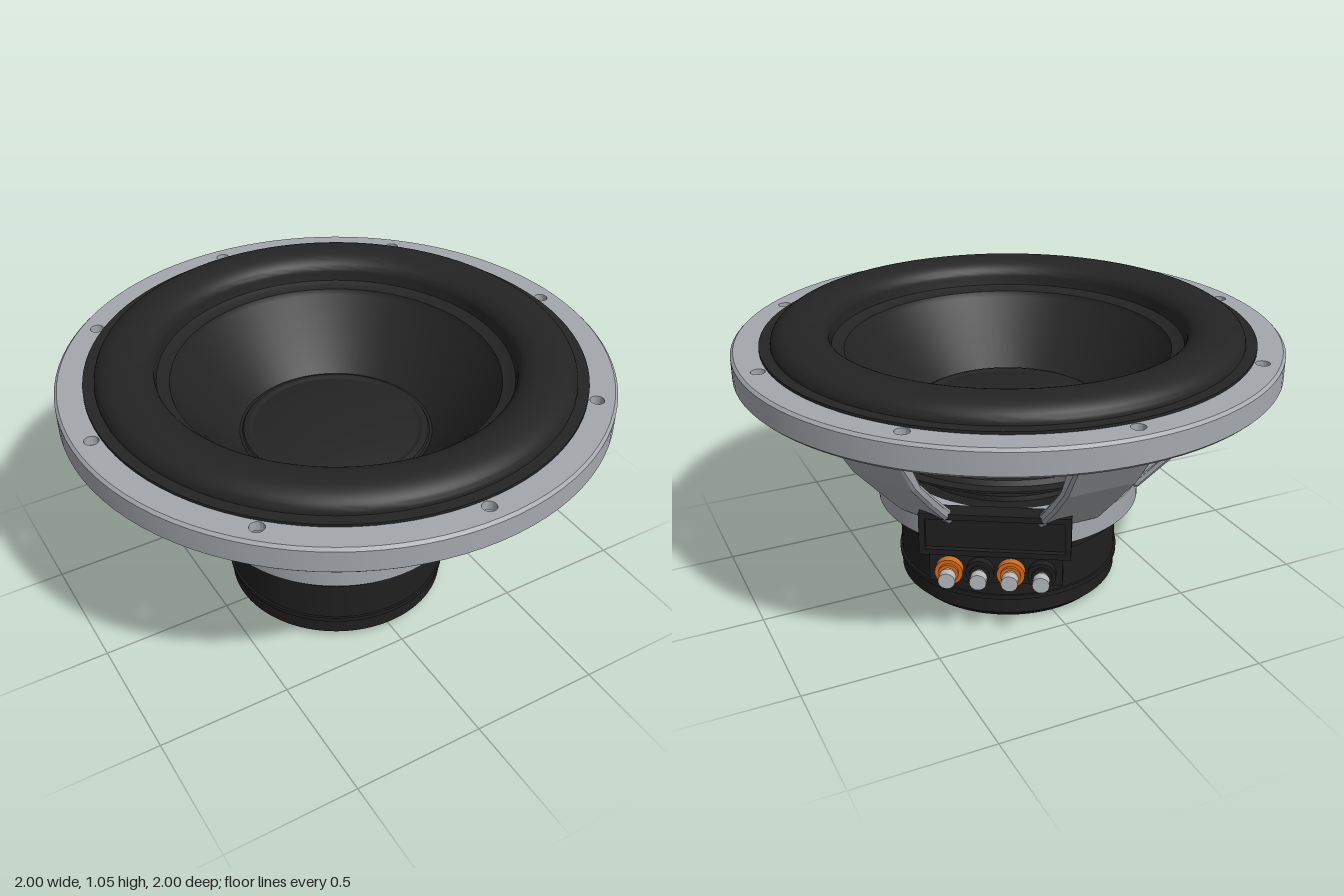
import * as THREE from 'three';
import { toCreasedNormals } from 'three/addons/utils/BufferGeometryUtils.js';

const mat = (name, color, side = THREE.FrontSide) => {
  const m = new THREE.MeshStandardMaterial({ color, side });
  m.name = name;
  return m;
};

export function createModel() {
  const model = new THREE.Group();
  model.name = 'loudspeaker';
  const grey = mat('cast grey', 0xa4a8ad);
  const black = mat('motor black', 0x1f1f1f);
  const rubber = mat('cone black', 0x242424, THREE.DoubleSide);
  const orange = mat('terminal orange', 0xd9691a);
  const silver = mat('post silver', 0xb8bbbe);

  const add = (name, geo, material, parent = model) => {
    const mesh = new THREE.Mesh(geo, material);
    mesh.name = name;
    parent.add(mesh);
    return mesh;
  };
  // profile points are [radius, y]
  const lathe = (name, pts, material, crease = 0.5) => {
    const geo = new THREE.LatheGeometry(pts.map(p => new THREE.Vector2(...p)), 96);
    return add(name, toCreasedNormals(geo, crease), material);
  };
  // flat disc with round holes, lying between y0 and y1
  const disc = (name, radius, holes, y0, y1, material) => {
    const shape = new THREE.Shape().absarc(0, 0, radius, 0, Math.PI * 2);
    for (const [x, y, r] of holes) {
      shape.holes.push(new THREE.Path().absarc(x, y, r, 0, Math.PI * 2, true));
    }
    const geo = new THREE.ExtrudeGeometry(shape, { depth: y1 - y0, bevelEnabled: false, curveSegments: 48 });
    geo.rotateX(-Math.PI / 2).translate(0, y0, 0);
    return add(name, toCreasedNormals(geo, 0.5), material);
  };
  const ringOfHoles = (count, dist, r, start = 0) => Array.from({ length: count }, (_, i) => {
    const a = start + i * Math.PI * 2 / count;
    return [Math.cos(a) * dist, Math.sin(a) * dist, r];
  });

  // mounting flange: drilled plate with a deeper outer lip
  disc('flangePlate', 0.97, [[0, 0, 0.8], ...ringOfHoles(8, 0.93, 0.025)], 0.94, 0.975, grey);
  lathe('flangeLip', [[0.97, 0.88], [0.975, 0.875], [0.99, 0.875], [1, 0.885], [1, 0.965],
    [0.99, 0.975], [0.97, 0.975], [0.97, 0.88]], grey);

  // basket rings above and below the spokes
  lathe('upperBasketRing', [[0.63, 0.78], [0.76, 0.78], [0.85, 0.85], [0.85, 0.945],
    [0.8, 0.945], [0.68, 0.81], [0.63, 0.78]], grey);
  lathe('lowerBasketRing', [[0.4, 0.335], [0.49, 0.335], [0.5, 0.345], [0.5, 0.435], [0.475, 0.46],
    [0.4, 0.46], [0.4, 0.335]], grey);

  // six bent spokes, wider at the top
  const spokeShape = new THREE.Shape([[0.47, 0.42], [0.5, 0.42], [0.635, 0.56], [0.73, 0.665], [0.83, 0.82],
    [0.77, 0.82], [0.69, 0.675], [0.605, 0.585], [0.46, 0.44]].map(p => new THREE.Vector2(...p)));
  const spokeGeo = new THREE.ExtrudeGeometry(spokeShape, {
    depth: 0.24, bevelThickness: 0.01, bevelSize: 0.01, bevelOffset: -0.01, bevelSegments: 1,
  });
  spokeGeo.translate(0, 0, -0.12).rotateY(-Math.PI / 2);
  const pos = spokeGeo.attributes.position;
  for (let i = 0; i < pos.count; i++) {
    const t = Math.max(0, (pos.getY(i) - 0.56) / 0.25);
    pos.setX(i, pos.getX(i) * (1 + 0.14 * t));
  }
  spokeGeo.computeVertexNormals();
  for (let i = 0; i < 6; i++) add('spoke', spokeGeo, grey).rotation.y = i * Math.PI / 3;

  // gasket, surround roll and cone in one flowing skin
  const roll = Array.from({ length: 25 }, (_, i) => {
    const a = i * Math.PI / 24;
    return [0.755 + 0.105 * Math.cos(a), 0.985 + 0.065 * Math.sin(a)];
  });
  lathe('surround', [[0.9, 0.97], [0.9, 0.985], ...roll, [0.645, 0.955], [0.625, 0.945], [0.6, 0.94]], rubber);
  lathe('cone', [[0.6, 0.94], [0.592, 0.918], [0.355, 0.685], [0.345, 0.7], [0.325, 0.705]], rubber);
  lathe('dustCap', [[0.325, 0.705], [0.31, 0.7], [0.24, 0.716], [0.16, 0.728], [0.08, 0.734], [0, 0.736]], rubber);

  // voice coil former, cone neck and rippled spider
  lathe('coneNeck', [[0.19, 0.68], [0.36, 0.68], [0.36, 0.692], [0.19, 0.692]], rubber);
  lathe('coilFormer', [[0.2, 0.46], [0.2, 0.69]], rubber);
  const ripple = Array.from({ length: 41 }, (_, i) => {
    const t = i / 40;
    return [0.5 - 0.3 * t, 0.612 + 0.012 * Math.sin(t * Math.PI * 10)];
  });
  lathe('spider', [[0.57, 0.602], [0.57, 0.61], [0.53, 0.61], [0.52, 0.628], [0.505, 0.628], ...ripple], rubber, 1);

  // magnet motor with raised bands and a recessed base
  lathe('motor', [[0, 0.03], [0.29, 0.03], [0.29, 0], [0.39, 0], [0.42, 0.03], [0.42, 0.09], [0.428, 0.09],
    [0.428, 0.108], [0.42, 0.108], [0.42, 0.272], [0.428, 0.272], [0.428, 0.29], [0.42, 0.29], [0.42, 0.335],
    [0.41, 0.34], [0.41, 0.46], [0.365, 0.465], [0.36, 0.482], [0, 0.482]], black);
  disc('backPlate', 0.29, [[0, 0, 0.07], ...ringOfHoles(6, 0.18, 0.022)], 0.004, 0.03, grey);

  // terminal assembly, built facing local +z then swung between two spokes
  const terminals = new THREE.Group();
  terminals.name = 'terminals';
  terminals.rotation.y = Math.PI * 5 / 6;
  model.add(terminals);
  const box = (name, w, h, d, x, y, z) =>
    add(name, new THREE.BoxGeometry(w, h, d), black, terminals).position.set(x, y, z);
  box('coverBody', 0.52, 0.155, 0.055, 0, 0.417, 0.4925);
  box('coverRimTop', 0.532, 0.022, 0.07, 0, 0.488, 0.505);
  box('coverRimBottom', 0.532, 0.022, 0.07, 0, 0.347, 0.505);
  for (const s of [-1, 1]) box('coverRimSide', 0.022, 0.163, 0.07, s * 0.255, 0.4175, 0.505);
  box('terminalBlock', 0.474, 0.105, 0.11, 0, 0.26, 0.445);

  const barrel = (name, r, z0, z1, x, material) => {
    const geo = new THREE.CylinderGeometry(r, r, z1 - z0, 24).rotateX(Math.PI / 2);
    add(name, geo, material, terminals).position.set(x, 0.26, (z0 + z1) / 2);
  };
  [-0.165, -0.055, 0.055, 0.165].forEach((x, i) => {
    barrel('terminalCollar', 0.05, 0.49, 0.53, x, i % 2 ? black : orange);
    barrel('terminalNeck', 0.036, 0.53, 0.54, x, i % 2 ? black : orange);
    barrel('terminalPost', 0.024, 0.53, 0.565, x, silver);
    barrel('terminalCap', 0.03, 0.555, 0.59, x, silver);
  });

  return model;
}
